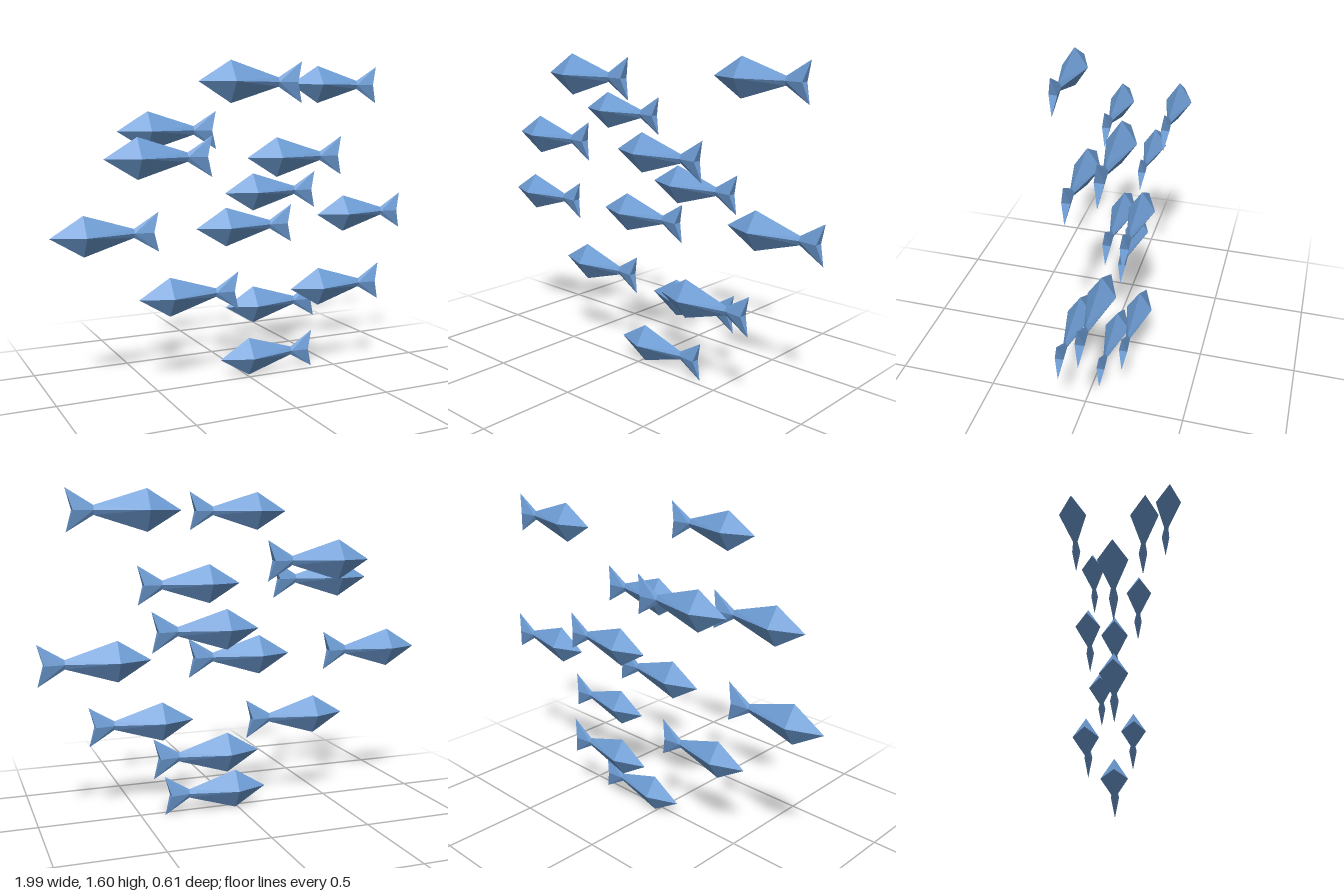
import * as THREE from 'three';

// Diamond cross-sections along the fish: [x at top/bottom, x at sides, half height, half width]
const SECTIONS = [
  [0, 0, 0, 0],                // nose
  [0.16, 0.16, 0.098, 0.065],  // widest part of the body
  [0.405, 0.405, 0.022, 0.011],// tail stem
  [0.53, 0.5, 0.098, 0.021],   // forked tail end
];

// Nose position of each fish: [x, y, z]
const SCHOOL = [
  [-0.37, 1.5, 0.238], [0.325, 1.5, -0.175], [-0.61, 1.264, -0.237],
  [-0.777, 1.152, 0.102], [-0.055, 1.138, 0.088], [-0.055, 0.94, -0.18],
  [-1, 0.786, -0.038], [-0.274, 0.786, -0.038], [0.465, 0.805, -0.126],
  [-0.576, 0.456, -0.038], [0.205, 0.456, 0.058], [-0.055, 0.336, -0.18],
  [-0.147, 0.1, -0.038],
];

function fishGeometry() {
  // Four corners per section: top, left side, bottom, right side
  const rings = SECTIONS.map(([xv, xs, h, w]) => [
    [xv, h, 0], [xs, 0, w], [xv, -h, 0], [xs, 0, -w],
  ]);
  const pos = [];
  const tri = (...pts) => pts.forEach((p) => pos.push(...p));
  for (let i = 0; i < rings.length - 1; i++) {
    for (let k = 0; k < 4; k++) {
      const n = (k + 1) % 4;
      const a = rings[i][k], b = rings[i][n], c = rings[i + 1][n], d = rings[i + 1][k];
      if (i === 0) tri(a, c, d);
      // Alternate the diagonal so the fish stays mirror symmetric
      else if (k % 2 === 0) { tri(a, b, d); tri(b, c, d); }
      else { tri(a, b, c); tri(a, c, d); }
    }
  }
  // Folded notch closing the tail
  const [top, left, bottom, right] = rings[rings.length - 1];
  tri(top, left, right);
  tri(left, bottom, right);
  const geo = new THREE.BufferGeometry();
  geo.setAttribute('position', new THREE.Float32BufferAttribute(pos, 3));
  geo.computeVertexNormals();
  return geo;
}

export function createModel() {
  const group = new THREE.Group();
  group.name = 'fishSchool';
  const geo = fishGeometry();
  const mat = new THREE.MeshStandardMaterial({ color: 0x6f9fd8, flatShading: true });
  SCHOOL.forEach(([x, y, z], i) => {
    const fish = new THREE.Mesh(geo, mat);
    fish.name = `fish${i + 1}`;
    fish.position.set(x, y, z);
    group.add(fish);
  });
  return group;
}
